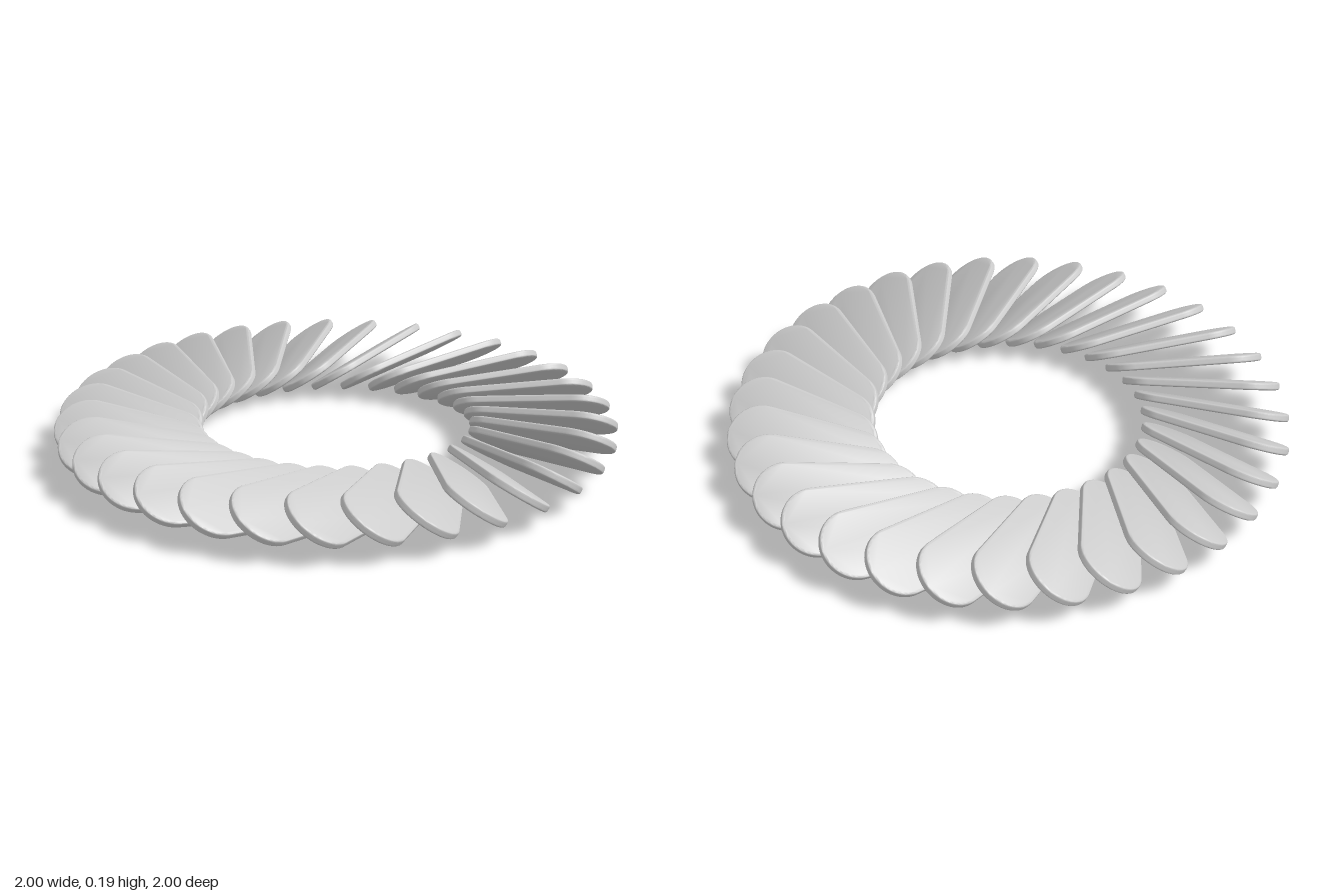
import * as THREE from 'three';
import { toCreasedNormals } from 'three/addons/utils/BufferGeometryUtils.js';

const COUNT = 32;          // slabs in the ring
const RADIUS = 0.12;       // half width of a slab
const SPAN = 0.34;         // distance between the two round-end centres
const THICK = 0.028;
const BEVEL = 0.009;
const YAW = THREE.MathUtils.degToRad(13.3);   // turn in the slab's own plane
const ROLL = THREE.MathUtils.degToRad(34);    // lean onto the neighbour

// Flat slab with two round ends and softened rims, long axis along z
function slabGeometry() {
  const r = RADIUS - BEVEL;
  const shape = new THREE.Shape();
  shape.absarc(0, SPAN / 2, r, 0, Math.PI, false);
  shape.absarc(0, -SPAN / 2, r, Math.PI, Math.PI * 2, false);
  shape.closePath();
  const geo = new THREE.ExtrudeGeometry(shape, {
    depth: THICK - 2 * BEVEL,
    bevelEnabled: true,
    bevelSize: BEVEL,
    bevelThickness: BEVEL,
    bevelSegments: 4,
    curveSegments: 18,
  });
  geo.center();
  geo.rotateX(Math.PI / 2);
  return toCreasedNormals(geo, 0.6);
}

export function createModel() {
  const model = new THREE.Group();
  model.name = 'slabRing';
  const material = new THREE.MeshStandardMaterial({ color: 0xcccccc });

  // One leaning slab placed off the axis
  const geo = slabGeometry();
  geo.rotateY(-YAW);
  geo.rotateZ(-ROLL);
  geo.translate(0.243, 0, 0.691);
  geo.computeBoundingBox();
  geo.translate(0, -geo.boundingBox.min.y, 0);

  // Repeat it around the ring
  for (let i = 0; i < COUNT; i++) {
    const slab = new THREE.Mesh(geo, material);
    slab.name = `slab${i + 1}`;
    slab.rotation.y = (i / COUNT) * Math.PI * 2;
    model.add(slab);
  }
  return model;
}
